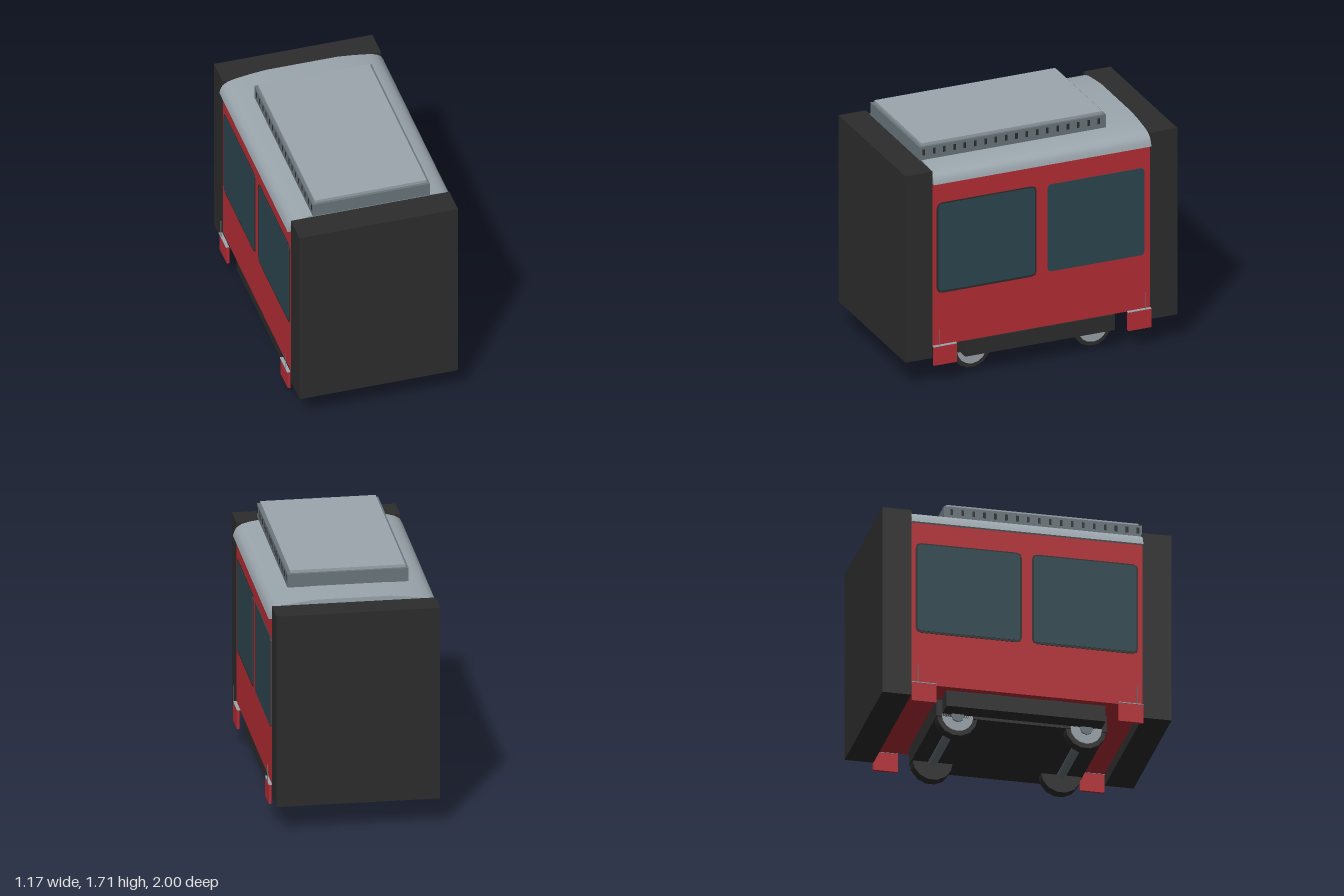
import * as THREE from 'three';
import { toCreasedNormals } from 'three/addons/utils/BufferGeometryUtils.js';

const mat = (name, color, side = THREE.FrontSide) => {
  const m = new THREE.MeshStandardMaterial({ color, side });
  m.name = name;
  return m;
};

export function createModel() {
  const red = mat('red paint', 0xb82e36);
  const black = mat('black rubber', 0x2d2d2d);
  const glass = mat('dark glass', 0x2e4750);
  const light = mat('light grey', 0x9ba6ad);
  const grey = mat('steel grey', 0x6b777d);

  const model = new THREE.Group();
  model.name = 'railCarriage';

  const add = (name, geo, m, x = 0, y = 0, z = 0) => {
    const mesh = new THREE.Mesh(geo, m);
    mesh.name = name;
    mesh.position.set(x, y, z);
    model.add(mesh);
    return mesh;
  };
  // box given by its limits on each axis
  const box = (name, m, x0, x1, y0, y1, z0, z1) =>
    add(name, new THREE.BoxGeometry(x1 - x0, y1 - y0, z1 - z0), m,
      (x0 + x1) / 2, (y0 + y1) / 2, (z0 + z1) / 2);
  // thin side plate with cut or rounded corners, centred on the origin
  const plate = (w, h, r, depth, segments) => {
    const s = new THREE.Shape();
    const a = w / 2, b = h / 2;
    s.moveTo(-a + r, -b);
    s.lineTo(a - r, -b); s.quadraticCurveTo(a, -b, a, -b + r);
    s.lineTo(a, b - r); s.quadraticCurveTo(a, b, a - r, b);
    s.lineTo(-a + r, b); s.quadraticCurveTo(-a, b, -a, b - r);
    s.lineTo(-a, -b + r); s.quadraticCurveTo(-a, -b, -a + r, -b);
    return new THREE.ExtrudeGeometry(s, { depth, bevelEnabled: false, curveSegments: segments });
  };

  // Body shell and floor
  box('floor', red, -0.54, 0.54, 0.28, 0.3, -0.8, 0.8);
  for (const s of [-1, 1]) {
    const x = s * 0.5475;
    box('sideWall', red, x - 0.0075, x + 0.0075, 0.28, 1.5, -0.8, 0.8);
    // gangway bellows at both ends
    box('gangway', black, -0.557, 0.557, 0.195, 1.567, s * 0.9 - 0.1, s * 0.9 + 0.1);
  }

  // Windows; one opening on the left side has no frame
  for (const s of [-1, 1]) {
    for (const e of [-1, 1]) {
      const z = e * 0.402;
      if (s < 0 || e > 0) {
        const frame = add('windowFrame', plate(0.735, 0.665, 0.04, 0.004, 2), black, s * 0.554, 0.995, z);
        frame.rotation.y = s * Math.PI / 2;
      }
      const pane = add('windowPane', plate(0.71, 0.64, 0.03, 0.006, 4), glass, s * 0.554, 0.998, z);
      pane.rotation.y = s * Math.PI / 2;
    }
  }

  // Arched roof with overhanging gutters
  const half = [[0.58, 1.475], [0.572, 1.505], [0.555, 1.535], [0.52, 1.557], [0.47, 1.57], [0.36, 1.586], [0.25, 1.597]];
  const outline = [...half, ...half.slice().reverse().map(([x, y]) => [-x, y])];
  const roofShape = new THREE.Shape(outline.map(([x, y]) => new THREE.Vector2(x, y)));
  const roofGeo = new THREE.ExtrudeGeometry(roofShape, { depth: 1.6, bevelEnabled: false });
  add('roof', toCreasedNormals(roofGeo, 0.6), light, 0, 0, -0.8);

  // Roof unit with lid and vent slots
  box('roofUnit', grey, -0.412, 0.412, 1.595, 1.69, -0.54, 0.83);
  box('roofUnitLid', light, -0.393, 0.393, 1.69, 1.71, -0.52, 0.81);
  for (const s of [-1, 1]) {
    for (let i = 0; i < 18; i++) {
      add('ventSlot', new THREE.BoxGeometry(0.004, 0.042, 0.018), black, s * 0.412, 1.65, 0.802 - i * 0.0758);
    }
  }

  // Corner steps and handrails
  for (const s of [-1, 1]) {
    for (const e of [-1, 1]) {
      const x = s * 0.57;
      box('cornerStep', red, x - 0.009, x + 0.009, 0.145, 0.28, e * 0.715 - 0.085, e * 0.715 + 0.085);
      box('stepTread', light, x - 0.014, x + 0.009, 0.278, 0.284, e * 0.715 - 0.085, e * 0.715 + 0.085);
      add('handrail', new THREE.CylinderGeometry(0.003, 0.003, 0.13, 6), grey, s * 0.581, 0.345, e * 0.758);
    }
  }

  // Underframe
  box('underframe', black, -0.535, 0.535, 0.15, 0.265, -0.55, 0.55);
  box('bogieFrame', black, -0.41, 0.41, 0.13, 0.25, -0.59, 0.59);
  for (const s of [-1, 1]) {
    for (const e of [-1, 1]) {
      box('mount', black, s * 0.45 - 0.06, s * 0.45 + 0.06, 0.26, 0.282, e * 0.215 - 0.042, e * 0.215 + 0.042);
    }
  }

  // Wheels and axles
  const disc = (name, r, w, sides, m, x, z) => {
    const g = new THREE.CylinderGeometry(r, r, w, sides);
    g.rotateZ(Math.PI / 2);
    return add(name, g, m, x, 0.14, z);
  };
  for (const z of [-0.445, 0.445]) {
    disc('axle', 0.035, 0.7, 12, grey, 0, z);
    for (const s of [-1, 1]) {
      disc('wheel', 0.14, 0.076, 14, black, s * 0.362, z);
      disc('wheelDisc', 0.108, 0.016, 16, light, s * 0.402, z);
      disc('wheelHub', 0.045, 0.02, 8, grey, s * 0.412, z);
    }
  }
  return model;
}
